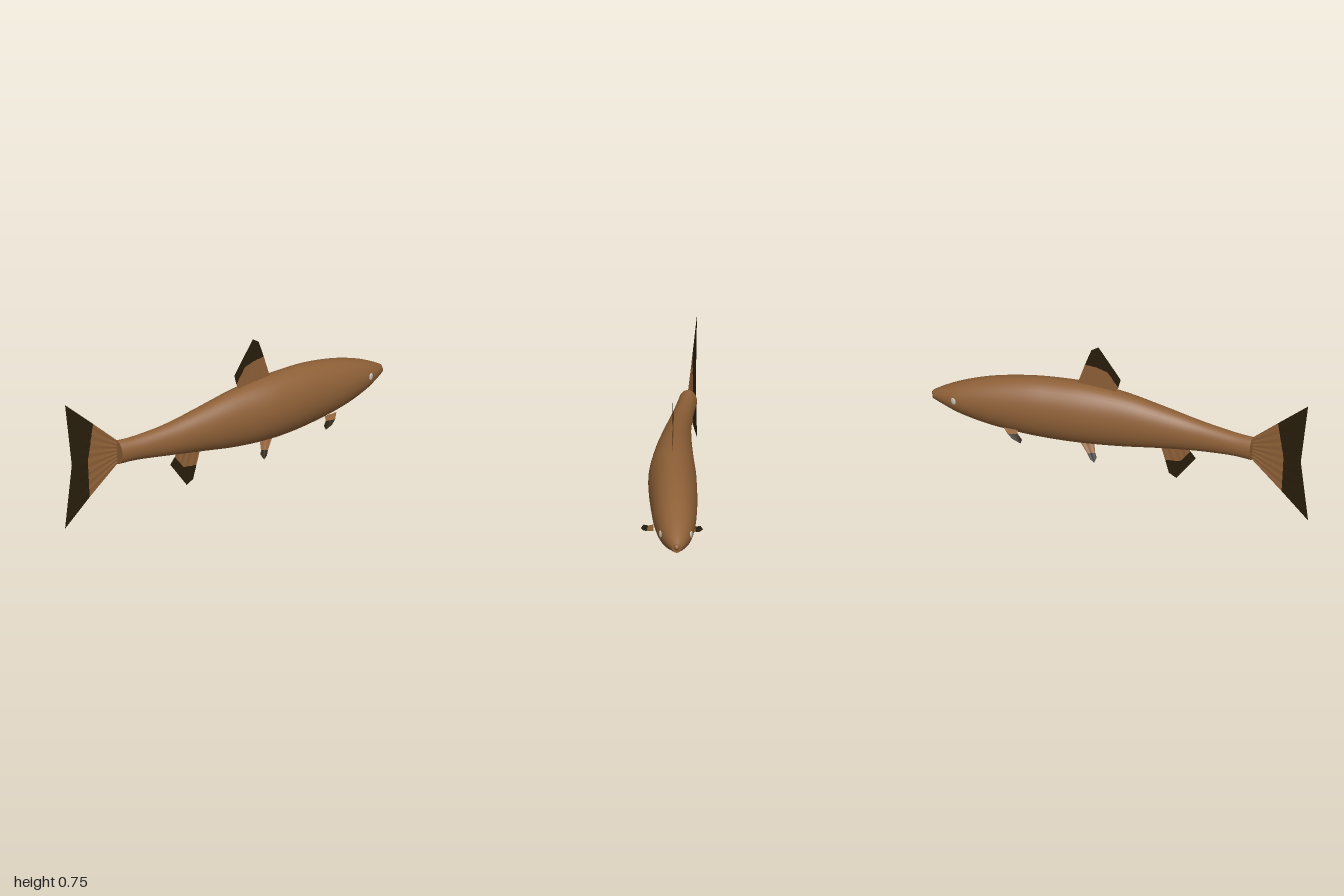
import * as THREE from 'three';

const brown = new THREE.MeshStandardMaterial({ color: 0x8e6037 });
brown.name = 'brown';
brown.side = THREE.DoubleSide;
const dark = new THREE.MeshStandardMaterial({ color: 0x281d0c });
dark.name = 'dark fin edge';
dark.side = THREE.DoubleSide;
const eyeGrey = new THREE.MeshStandardMaterial({ color: 0xc8c8c0 });
eyeGrey.name = 'pale eye';

// Body stations: x, top y, bottom y, centre z, half width
const stations = [
  [-0.695, 0.41, 0.285, -0.017, 0.046],
  [-0.6, 0.41, 0.285, -0.007, 0.048],
  [-0.4, 0.43, 0.263, 0.01, 0.06],
  [-0.2, 0.467, 0.235, 0.017, 0.08],
  [0, 0.504, 0.205, 0.018, 0.101],
  [0.2, 0.523, 0.189, 0.013, 0.12],
  [0.35, 0.523, 0.188, 0.003, 0.122],
  [0.5, 0.514, 0.197, -0.01, 0.118],
  [0.7, 0.478, 0.225, -0.025, 0.105],
  [0.85, 0.43, 0.266, -0.038, 0.08],
  [0.94, 0.389, 0.302, -0.046, 0.048],
  [0.985, 0.364, 0.318, -0.05, 0.023],
];

// Mesh from a grid of points, rows x columns
function gridGeometry(rows) {
  const n = rows[0].length, index = [];
  for (let i = 0; i < rows.length - 1; i++)
    for (let j = 0; j < n - 1; j++) {
      const a = i * n + j, b = a + n;
      index.push(a, b, a + 1, b, b + 1, a + 1);
    }
  const g = new THREE.BufferGeometry().setFromPoints(rows.flat());
  g.setIndex(index);
  g.computeVertexNormals();
  return g;
}

function add(parent, name, geometry, material) {
  const mesh = new THREE.Mesh(geometry, material);
  mesh.name = name;
  parent.add(mesh);
  return mesh;
}

function buildBody(group) {
  const centre = new THREE.CatmullRomCurve3(stations.map(([x, t, b, z]) => new THREE.Vector3(x, (t + b) / 2, z)));
  const size = new THREE.CatmullRomCurve3(stations.map(([x, t, b, , w]) => new THREE.Vector3(x, (t - b) / 2, w)));
  const rows = [], N = 66, SIDES = 40;
  for (let i = 0; i <= N; i++) {
    const c = centre.getPoint(i / N), s = size.getPoint(i / N), row = [];
    for (let j = 0; j <= SIDES; j++) {
      const a = (j / SIDES) * Math.PI * 2;
      row.push(new THREE.Vector3(c.x, c.y - s.y * Math.cos(a), c.z + s.z * Math.sin(a)));
    }
    rows.push(row);
  }
  // The seam runs along the belly; average its normals so the shading joins
  const g = gridGeometry(rows), nor = g.attributes.normal, w = SIDES + 1;
  for (let i = 0; i <= N; i++) {
    const n = new THREE.Vector3().fromBufferAttribute(nor, i * w)
      .add(new THREE.Vector3().fromBufferAttribute(nor, i * w + SIDES)).normalize();
    for (const k of [i * w, i * w + SIDES]) nor.setXYZ(k, n.x, n.y, n.z);
  }
  // Wind the faces outward
  g.index.array.reverse();
  for (let k = 0; k < nor.count; k++) {
    const row = Math.floor(k / w), c = centre.getPoint(row / N);
    const p = new THREE.Vector3().fromBufferAttribute(g.attributes.position, k).sub(c);
    const n = new THREE.Vector3().fromBufferAttribute(nor, k);
    if (n.dot(p) < 0) nor.setXYZ(k, -n.x, -n.y, -n.z);
  }
  add(group, 'body', g, brown);

  // Flat ends at the tail root and the mouth
  for (const [name, s, dir] of [['tailRootCap', stations[0], -1], ['mouthRim', stations[stations.length - 1], 1]]) {
    const cap = add(group, name, new THREE.CircleGeometry(1, SIDES), brown);
    cap.scale.set(s[4], (s[1] - s[2]) / 2, 1);
    cap.rotation.y = dir * Math.PI / 2;
    cap.position.set(s[0], (s[1] + s[2]) / 2, s[3]);
  }
  const lip = add(group, 'lip', new THREE.SphereGeometry(0.016, 20, 14), brown);
  lip.position.set(0.979, 0.347, -0.05);
}

// Point at fraction u of a polyline with evenly weighted segments
function sample(line, u) {
  const f = u * (line.length - 1), i = Math.min(Math.floor(f), line.length - 2);
  return new THREE.Vector3(...line[i]).lerp(new THREE.Vector3(...line[i + 1]), f - i);
}

// Rayed fin: brown from root to split, dark from split to edge
function fin(parent, name, root, split, edge, rays, ripple) {
  const group = new THREE.Group();
  group.name = name;
  const COLS = rays * 6;
  const sheet = (from, to, r0, r1) => {
    const rows = [];
    for (let i = 0; i <= 4; i++) {
      const v = i / 4, row = [];
      for (let j = 0; j <= COLS; j++) {
        const u = j / COLS, p = sample(from, u).lerp(sample(to, u), v);
        p.z += (r0 + (r1 - r0) * v) * Math.sin(u * rays * Math.PI * 2);
        row.push(p);
      }
      rows.push(row);
    }
    return gridGeometry(rows);
  };
  add(group, name + 'Base', sheet(root, split, ripple, ripple * 0.8), brown);
  add(group, name + 'Edge', sheet(split, edge, ripple * 0.8, 0), dark);
  parent.add(group);
}

export function createModel() {
  const model = new THREE.Group();
  model.name = 'fish';
  buildBody(model);

  // Forked tail, bent slightly to one side
  fin(model, 'tailFin',
    [[-0.685, 0.405, -0.018], [-0.685, 0.347, -0.018], [-0.685, 0.29, -0.018]],
    [[-0.835, 0.537, -0.032], [-0.865, 0.34, -0.034], [-0.855, 0.138, -0.034]],
    [[-1, 0.68, -0.046], [-0.96, 0.34, -0.043], [-1, 0, -0.046]], 8, 0.0011);

  // Back fin
  fin(model, 'dorsalFin',
    [[0.045, 0.495, 0.017], [0.11, 0.505, 0.016], [0.18, 0.512, 0.014], [0.247, 0.512, 0.012]],
    [[0.03, 0.535, 0.017], [0.085, 0.615, 0.016], [0.14, 0.632, 0.015], [0.205, 0.64, 0.013]],
    [[0.017, 0.585, 0.017], [0.075, 0.67, 0.016], [0.135, 0.755, 0.016], [0.172, 0.73, 0.015]], 6, 0.0014);

  // Rear belly fin
  fin(model, 'analFin',
    [[-0.345, 0.262, 0.013], [-0.27, 0.255, 0.014], [-0.195, 0.245, 0.015]],
    [[-0.355, 0.24, 0.013], [-0.3, 0.17, 0.014], [-0.22, 0.16, 0.015]],
    [[-0.383, 0.205, 0.013], [-0.28, 0.066, 0.014], [-0.24, 0.088, 0.014]], 4, 0.0013);

  // Paired fins and eyes on both sides
  for (const [side, s] of [['left', -1], ['right', 1]]) {
    const mirror = (line, mid) => line.map(([x, y, z]) => [x, y, mid + s * z]);
    const pelvic = (line) => mirror(line, 0.017);
    fin(model, side + 'PelvicFin',
      pelvic([[0.14, 0.212, 0.048], [0.215, 0.205, 0.05]]),
      pelvic([[0.125, 0.176, 0.078], [0.165, 0.167, 0.084]]),
      pelvic([[0.112, 0.16, 0.092], [0.12, 0.137, 0.111], [0.145, 0.148, 0.101]]), 2, 0.0008);
    const pectoral = (line) => mirror(line, 0);
    fin(model, side + 'PectoralFin',
      pectoral([[0.53, 0.252, 0.09], [0.605, 0.252, 0.088]]),
      pectoral([[0.515, 0.238, 0.118], [0.57, 0.234, 0.124]]),
      pectoral([[0.485, 0.228, 0.143], [0.488, 0.211, 0.156], [0.535, 0.22, 0.143]]), 2, 0.0008);

    const eye = add(model, side + 'Eye', new THREE.SphereGeometry(1, 20, 14), eyeGrey);
    eye.scale.set(0.016, 0.019, 0.005);
    eye.position.set(0.86, 0.36, -0.038 + s * 0.077);
    eye.rotation.y = s * 0.4;
  }
  return model;
}
